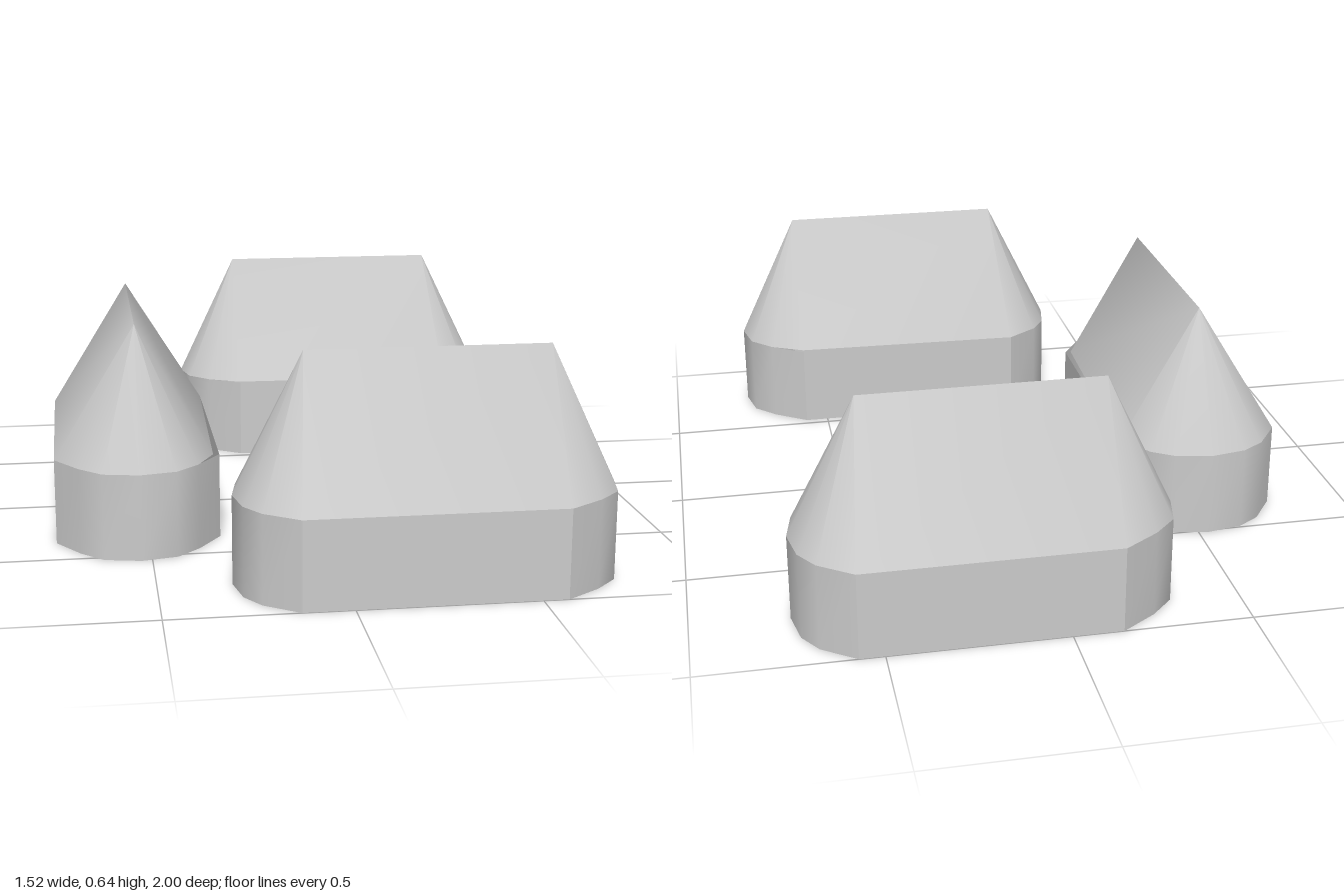
import * as THREE from 'three';
import { toCreasedNormals } from 'three/addons/utils/BufferGeometryUtils.js';

const HALF = 0.355;     // half length of the straight walls
const WIDTH = 0.2375;   // half width of a hut
const EAVES = 0.25;
const RIDGE = 0.64;
const material = new THREE.MeshStandardMaterial({ color: 0xcccccc, side: THREE.DoubleSide });

// rounded end seen from above, from the outer wall (+z) to the inner wall (-z)
function endOutline(reach) {
  const half = [[0, WIDTH], [reach[0], 0.17], [reach[1], 0.104]];
  return [
    ...half,
    [reach[2], 0],
    ...half.map(([x, z]) => [x, -z]).reverse(),
  ];
}
const rightEnd = endOutline([0.1, 0.165, 0.187]).map(([x, z]) => [HALF + x, z]);
const leftEnd = endOutline([0.095, 0.138, 0.157]).map(([x, z]) => [-HALF - x, z]).reverse();

// upright wall along a line of plan points
function wall(points, name) {
  const pos = [], index = [];
  points.forEach(([x, z], i) => {
    pos.push(x, 0, z, x, EAVES, z);
    if (i > 0) {
      const a = 2 * (i - 1);
      index.push(a, a + 2, a + 3, a, a + 3, a + 1);
    }
  });
  const geo = new THREE.BufferGeometry();
  geo.setAttribute('position', new THREE.Float32BufferAttribute(pos, 3));
  geo.setIndex(index);
  geo.computeVertexNormals();
  const mesh = new THREE.Mesh(geo, material);
  mesh.name = name;
  return mesh;
}

// hipped roof: a fan over each end and a slope along each side
function roof() {
  const right = rightEnd.map((p) => [...p]);
  right[right.length - 1][1] += 0.018; // eave corner set back, leaving a narrow slit
  const apexR = [HALF, RIDGE, 0], apexL = [-0.32, RIDGE, 0];
  const eave = ([x, z]) => [x, EAVES, z];
  const pos = [];
  const tri = (a, b, c) => pos.push(...a, ...b, ...c);
  for (const [end, apex] of [[right, apexR], [leftEnd, apexL]]) {
    for (let i = 0; i < end.length - 1; i++) tri(eave(end[i]), eave(end[i + 1]), apex);
  }
  const slope = (a, b, topB, topA) => {
    tri(eave(a), eave(b), topB);
    tri(eave(a), topB, topA);
  };
  slope(right.at(-1), leftEnd[0], apexL, apexR);
  slope(leftEnd.at(-1), right[0], apexR, apexL);
  const geo = new THREE.BufferGeometry();
  geo.setAttribute('position', new THREE.Float32BufferAttribute(pos, 3));
  const mesh = new THREE.Mesh(toCreasedNormals(geo, Math.PI / 4), material);
  mesh.name = 'roof';
  return mesh;
}

function hut(name, x, z, turn) {
  const group = new THREE.Group();
  group.name = name;
  group.add(
    wall(rightEnd, 'longEndWall'),
    wall([rightEnd.at(-1), leftEnd[0]], 'innerWall'),
    wall(leftEnd, 'shortEndWall'),
    wall([leftEnd.at(-1), rightEnd[0]], 'outerWall'),
    roof(),
  );
  group.position.set(x, 0, z);
  group.rotation.y = turn;
  return group;
}

export function createModel() {
  const model = new THREE.Group();
  model.name = 'hutCluster';
  // three open-bottomed huts around a yard, inner walls facing it
  model.add(
    hut('frontHut', 0.215, 0.7625, 0),
    hut('sideHut', -0.53, 0, -Math.PI / 2),
    hut('backHut', 0.215, -0.7625, Math.PI),
  );
  return model;
}
